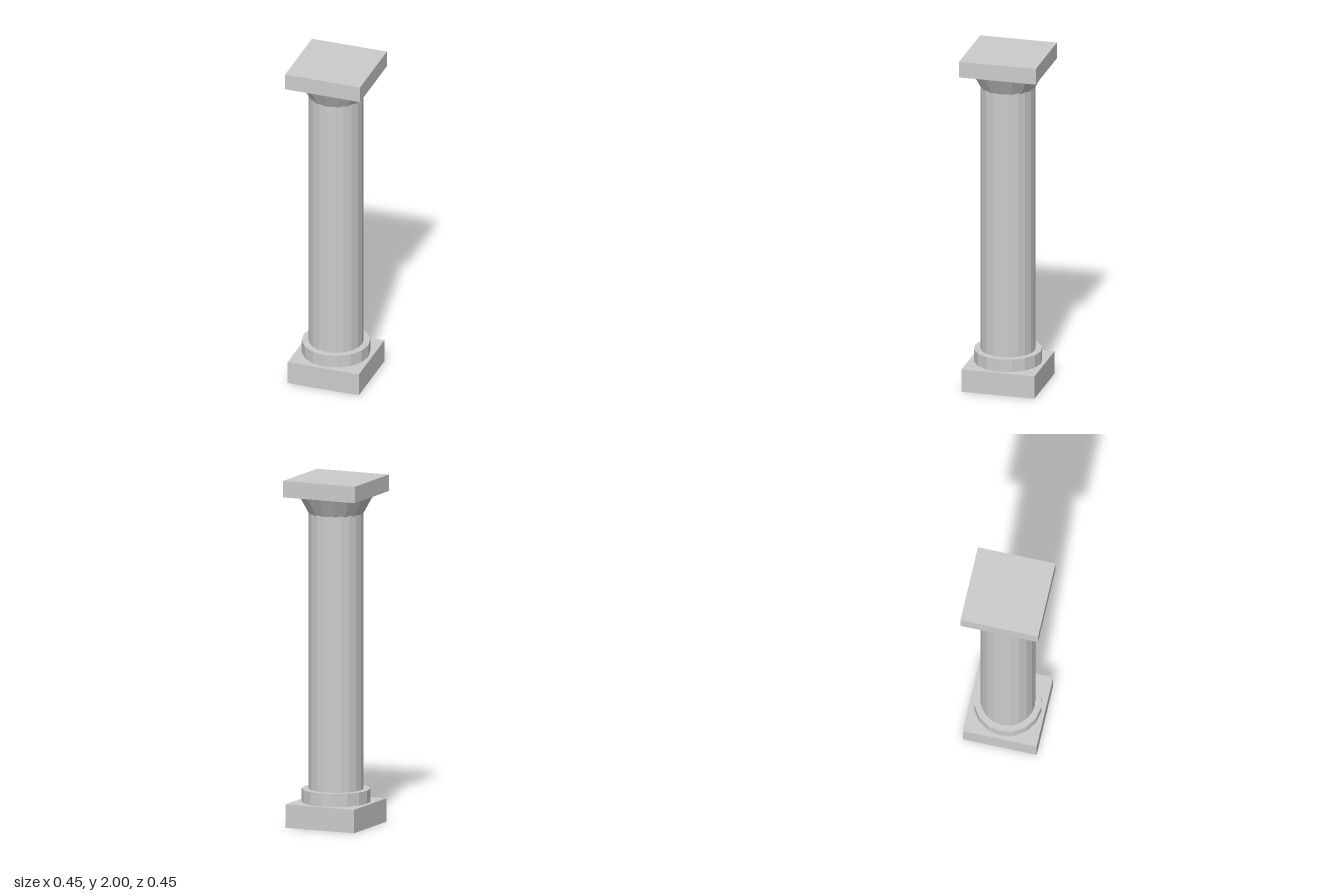
import * as THREE from 'three';

export function createModel() {
  const column = new THREE.Group();
  column.name = 'column';

  const stone = new THREE.MeshStandardMaterial({ color: 0xcccccc, flatShading: true });
  stone.name = 'grey stone';

  // Adds a part spanning bottom..top in height
  function add(name, geometry, bottom, top) {
    const mesh = new THREE.Mesh(geometry, stone);
    mesh.name = name;
    mesh.position.y = (bottom + top) / 2;
    column.add(mesh);
  }
  const slab = (name, width, bottom, top) =>
    add(name, new THREE.BoxGeometry(width, top - bottom, width), bottom, top);
  const drum = (name, rTop, rBottom, sides, bottom, top) =>
    add(name, new THREE.CylinderGeometry(rTop, rBottom, top - bottom, sides), bottom, top);

  // Square plinth and the collar standing on it
  slab('plinth', 0.43, 0, 0.135);
  drum('baseCollar', 0.195, 0.195, 16, 0.135, 0.21);

  // Faceted shaft
  drum('shaft', 0.157, 0.157, 20, 0.21, 1.82);

  // Flared capital under a square top slab
  drum('capital', 0.215, 0.154, 16, 1.793, 1.905);
  slab('abacus', 0.452, 1.905, 2);

  return column;
}
